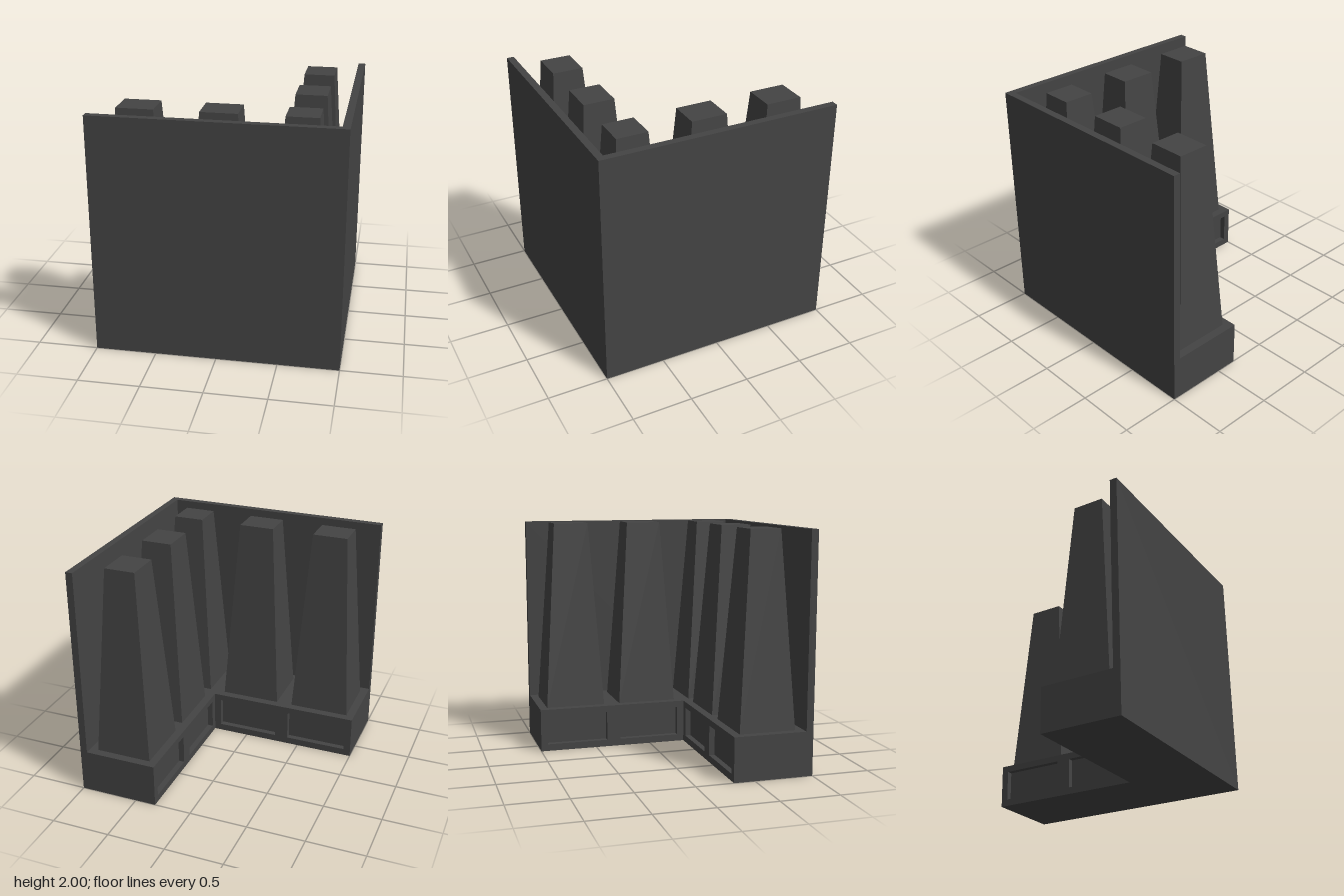
import * as THREE from 'three';

const BASE_H = 0.375, TOP = 2, INNER = 0.32, RECESS = 0.05, WALL = 0.94;

const material = new THREE.MeshStandardMaterial({ color: 0x444444, flatShading: true });

function part(name, geometry) {
  const mesh = new THREE.Mesh(geometry, material);
  mesh.name = name;
  return mesh;
}

// L-shaped plan along the front and left sides, from `inner` out to `outer`
function cornerPrism(inner, outer, height) {
  const plan = [[-1, outer], [outer, outer], [outer, -1], [inner, -1], [inner, inner], [-1, inner]];
  const shape = new THREE.Shape(plan.map(([x, z]) => new THREE.Vector2(x, -z)));
  return new THREE.ExtrudeGeometry(shape, { depth: height, bevelEnabled: false }).rotateX(-Math.PI / 2);
}

function rect(PathType, u0, y0, u1, y1) {
  const points = [[u0, y0], [u1, y0], [u1, y1], [u0, y1]];
  return new PathType(points.map(([u, y]) => new THREE.Vector2(u, y)));
}

// Slab with two rectangular openings, one in front of each pillar
function panelFrame(end) {
  const shape = rect(THREE.Shape, -1, 0, end, BASE_H);
  for (const [u0, u1] of [[-0.94, -0.4], [-0.28, 0.26]]) {
    shape.holes.push(rect(THREE.Path, u0, 0.06, u1, 0.32));
  }
  return new THREE.ExtrudeGeometry(shape, { depth: RECESS, bevelEnabled: false });
}

// Tapered block: the sides lean in by 0.11 all round
function pillar(width, depth) {
  const h = TOP - BASE_H, inset = 0.11;
  const geometry = new THREE.BoxGeometry(width, h, depth).translate(0, h / 2, 0);
  const p = geometry.attributes.position;
  for (let i = 0; i < p.count; i++) {
    if (p.getY(i) < h / 2) continue;
    p.setX(i, p.getX(i) - Math.sign(p.getX(i)) * inset);
    p.setZ(i, p.getZ(i) - Math.sign(p.getZ(i)) * inset);
  }
  geometry.computeVertexNormals();
  return geometry;
}

export function createModel() {
  const model = new THREE.Group();
  model.name = 'cornerWall';

  // Thin outer walls and the solid core of the base
  model.add(part('outerWalls', cornerPrism(WALL, 1, TOP)));
  model.add(part('baseCore', cornerPrism(INNER + RECESS, WALL, BASE_H)));

  // Recessed panels on the two inner faces of the base
  model.add(part('frontPanelFrame', panelFrame(INNER + RECESS).translate(0, 0, INNER)));
  model.add(part('sidePanelFrame', panelFrame(INNER).rotateY(-Math.PI / 2).translate(INNER + RECESS, 0, 0)));

  // Tapered pillars: one in the corner, two along each arm
  const row = 0.63;
  const addPillar = (name, x, z, width, depth) => {
    const mesh = part(name, pillar(width, depth));
    mesh.position.set(x, BASE_H, z);
    model.add(mesh);
  };
  addPillar('cornerPillar', row, row, 0.48, 0.48);
  [-0.67, -0.01].forEach((along, i) => {
    addPillar(`frontPillar${i + 1}`, along, row, 0.52, 0.48);
    addPillar(`sidePillar${i + 1}`, row, along, 0.48, 0.52);
  });

  return model;
}
